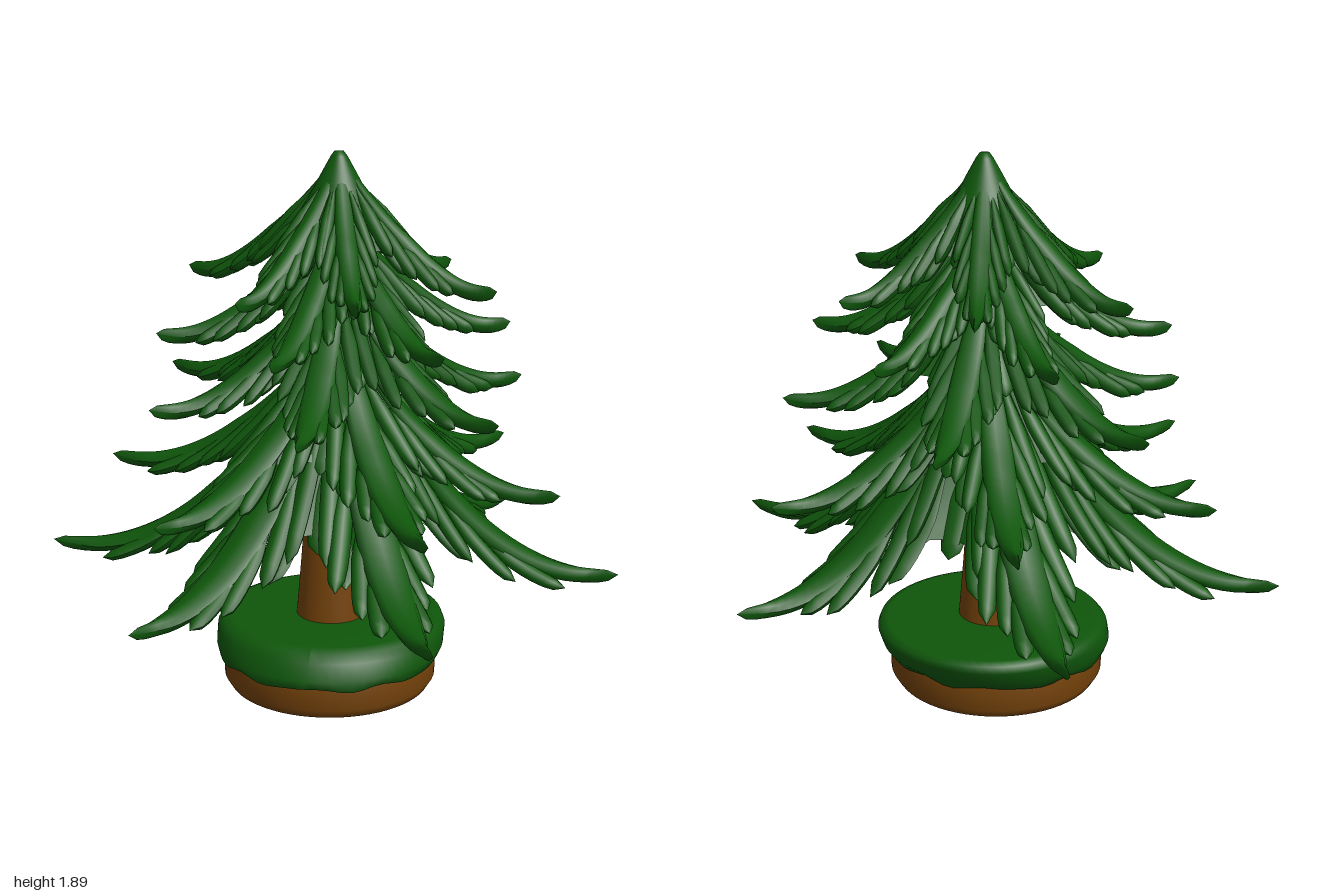
import * as THREE from 'three';
import { mergeGeometries } from 'three/addons/utils/BufferGeometryUtils.js';

const AXIS = { x: 0.02, z: -0.07 };

// Tiers from bottom to top: tip height, rise to the crown, sag exponent, branch tips as [x, z]
const TIERS = [
  { y: 0.487, rise: 0.88, sag: 2.6, tips: [[1.0, 0.01], [0.48, 0.83], [-0.47, 0.84], [-1.0, 0.03], [-0.58, -0.84], [0.56, -0.85]] },
  { y: 0.78, rise: 0.55, sag: 2.5, tips: [[0.8, 0.09], [0.44, 0.68], [-0.43, 0.67], [-0.81, -0.1], [-0.38, -0.75], [0.54, -0.64]] },
  { y: 1.07, rise: 0.46, sag: 2.4, tips: [[0.61, 0.3], [0.02, 0.65], [-0.54, 0.33], [-0.65, -0.34], [-0.1, -0.76], [0.62, -0.39]] },
  { y: 1.298, rise: 0.4, sag: 2.2, tips: [[0.44, 0.37], [-0.08, 0.56], [-0.55, 0.19], [-0.4, -0.48], [0.16, -0.63], [0.59, -0.22]] },
  { y: 1.458, rise: 0.42, sag: 2, tips: [[0.57, 0.07], [0.18, 0.45], [-0.22, 0.42], [-0.54, -0.2], [-0.15, -0.56], [0.35, -0.48]] },
];

function seeded(seed) {
  return () => (seed = (seed * 16807) % 2147483647) / 2147483647;
}

// Height of a tier's surface at fraction f from crown to tip, with a slight upturn at the end
const surfaceY = (tier, f) =>
  tier.y + tier.rise * Math.max(0, 1 - f) ** tier.sag - 0.02 * Math.sin(Math.PI * Math.min(1, f) ** 3);

// Thin start, full body, rounded end
const taper = (t, blunt) => Math.min(1, 0.15 + 2.2 * Math.max(0, t)) * Math.sqrt(Math.max(0, 1 - t ** blunt));

// Indexed grid of rows x cols points
function gridGeometry(rows, cols, point) {
  const pos = [], index = [];
  for (let i = 0; i <= rows; i++) {
    for (let j = 0; j <= cols; j++) pos.push(...point(i / rows, j / cols));
  }
  for (let i = 0; i < rows; i++) {
    for (let j = 0; j < cols; j++) {
      const a = i * (cols + 1) + j, b = a + cols + 1;
      index.push(a, a + 1, b, a + 1, b + 1, b);
    }
  }
  const g = new THREE.BufferGeometry();
  g.setAttribute('position', new THREE.Float32BufferAttribute(pos, 3));
  g.setIndex(index);
  g.computeVertexNormals();
  return g;
}

// Flattened tapering sweep; path(t) is a Vector3, side is horizontal
function frond(path, side, width, height, steps = 10) {
  return gridGeometry(steps, 8, (t, u) => {
    const p = path(t);
    const T = path(t + 0.01).sub(path(t - 0.01)).normalize();
    const N = T.cross(side).normalize();
    const a = u * Math.PI * 2;
    p.addScaledVector(side, width(t) * Math.cos(a)).addScaledVector(N, height(t) * Math.sin(a));
    return [p.x, p.y, p.z];
  });
}

// One drooping branch: a central frond with a spiked tip and paired needle clumps
function branchParts(tier, tip, rand) {
  const dx = tip[0] - AXIS.x, dz = tip[1] - AXIS.z, R = Math.hypot(dx, dz);
  const dir = new THREE.Vector3(dx / R, 0, dz / R);
  const side = new THREE.Vector3(dir.z, 0, -dir.x);
  const at = (f, lateral) => {
    const y = surfaceY(tier, f) - 0.4 * Math.abs(lateral);
    return new THREE.Vector3(AXIS.x, y, AXIS.z).addScaledVector(dir, f * R).addScaledVector(side, lateral);
  };
  const parts = [frond(
    t => at(0.06 + 0.94 * t, 0),
    side,
    t => R * (t > 0.9 ? 0.12 * (1 - t) + 0.001 : 0.012 + 0.058 * Math.sin(Math.PI * t / 0.9) ** 0.6),
    t => 0.029 * taper(t, 16),
    26,
  )];
  const starts = [0.12, 0.24, 0.36, 0.47];
  const spread = [0.17, 0.15, 0.11, 0.07];
  starts.forEach((f0, k) => {
    for (const s of [-1, 1]) {
      const length = 0.28 + 0.08 * rand(), out = s * R * spread[k] * (0.85 + 0.3 * rand());
      parts.push(frond(
        t => at(f0 + length * t, out * (0.25 + 0.75 * t)),
        side,
        t => R * 0.036 * taper(t, 8) + 0.001,
        t => 0.024 * taper(t, 8) + 0.001,
      ));
    }
  });
  return parts;
}

// Star-shaped skirt and short hanging clumps that fill the gaps between branches
function skirtParts(tier) {
  const polar = tier.tips.map(([x, z]) => ({
    a: Math.atan2(z - AXIS.z, x - AXIS.x),
    r: Math.hypot(x - AXIS.x, z - AXIS.z),
  }));
  const n = polar.length;
  const at = (f, v) => {
    const i = Math.floor(v * n) % n, t = v * n - Math.floor(v * n);
    const A = polar[i], B = polar[(i + 1) % n];
    const turn = (B.a - A.a + Math.PI * 4) % (Math.PI * 2);
    const a = A.a + turn * t;
    const R = (A.r + (B.r - A.r) * t) * (0.63 + 0.37 * Math.abs(2 * t - 1) ** 1.2);
    return new THREE.Vector3(
      AXIS.x + Math.cos(a) * R * f,
      surfaceY(tier, f) + 0.01,
      AXIS.z + Math.sin(a) * R * f,
    );
  };
  const parts = [gridGeometry(10, 72, (s, v) => {
    const end = 0.51 + 0.05 * Math.cos(v * n * Math.PI * 8);
    const p = at(0.04 + (end - 0.04) * s, v);
    return [p.x, p.y, p.z];
  })];
  for (let i = 0; i < n; i++) {
    [0.25, 0.5, 0.75].forEach((t, k) => {
      const v = (i + t) / n;
      const out = at(0.6, v).sub(at(0.3, v));
      const side = new THREE.Vector3(out.z, 0, -out.x).normalize();
      const end = k === 1 ? 0.56 : 0.66;
      parts.push(frond(
        q => at(0.25 + (end - 0.25) * q, v),
        side,
        q => polar[i].r * 0.045 * taper(q, 8) + 0.001,
        q => 0.02 * taper(q, 8) + 0.001,
      ));
    });
  }
  return parts;
}

export function createModel() {
  const tree = new THREE.Group();
  const green = new THREE.MeshStandardMaterial({ color: 0x0f560b, side: THREE.DoubleSide });
  const brown = new THREE.MeshStandardMaterial({ color: 0x74420a });
  const add = (name, geometry, material) => {
    const mesh = new THREE.Mesh(geometry, material);
    mesh.name = name;
    tree.add(mesh);
    return mesh;
  };
  const lathe = (pts) => new THREE.LatheGeometry(pts.map(([x, y]) => new THREE.Vector2(x, y)), 64);

  // Wooden base disc
  add('base', lathe([[0, 0], [0.3, 0.004], [0.355, 0.014], [0.374, 0.045], [0.376, 0.13], [0.36, 0.15], [0, 0.15]]), brown)
    .position.set(-0.005, 0, -0.035);

  // Green cover with a wavy lower rim, leaning slightly backwards
  const cover = lathe([[0.3, 0.135], [0.365, 0.122], [0.39, 0.13], [0.402, 0.16], [0.404, 0.215], [0.39, 0.242], [0.36, 0.252], [0, 0.252]]);
  const p = cover.attributes.position;
  for (let i = 0; i < p.count; i++) {
    const x = p.getX(i), y = p.getY(i), z = p.getZ(i), a = Math.atan2(z, x);
    if (y < 0.15) p.setY(i, y + 0.006 * Math.sin(9 * a) + 0.003 * Math.sin(14 * a + 1));
    p.setZ(i, z - 0.5 * (y - 0.18));
  }
  cover.computeVertexNormals();
  add('baseCover', cover, green).position.set(-0.005, 0, -0.05);

  // Trunk
  add('trunk', lathe([[0.125, 0.2], [0.12, 0.27], [0.105, 0.45], [0.09, 0.65], [0.07, 0.95], [0, 1.0]]), brown)
    .position.set(-0.005, 0, -0.06);

  // Foliage tiers
  const rand = seeded(77);
  TIERS.forEach((tier, i) => {
    const parts = [...skirtParts(tier), ...tier.tips.flatMap(tip => branchParts(tier, tip, rand))];
    add('foliageTier' + (i + 1), mergeGeometries(parts), green);
  });

  // Smooth pointed crown
  add('crown', lathe([[0.17, 1.625], [0.1, 1.735], [0.06, 1.81], [0.028, 1.868], [0.016, 1.884], [0, 1.886]]), green)
    .position.set(AXIS.x, 0, AXIS.z);
  return tree;
}
